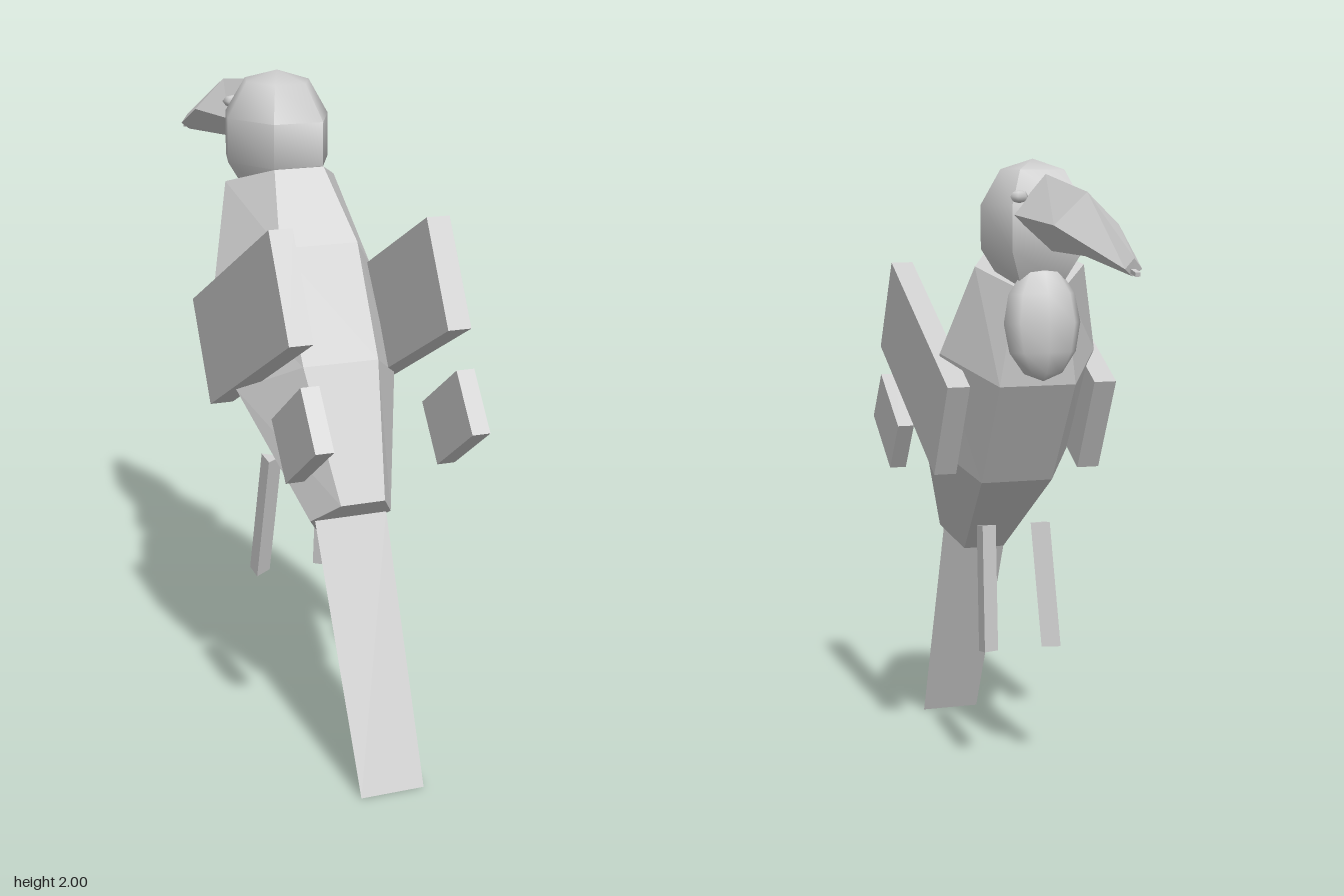
import * as THREE from 'three';
import { toCreasedNormals } from 'three/addons/utils/BufferGeometryUtils.js';

// Skin between rings of equal point count, with closed ends
function loft(rings, crease = 0) {
  const n = rings[0].length, tris = [];
  for (let r = 0; r < rings.length - 1; r++) {
    for (let i = 0; i < n; i++) {
      const j = (i + 1) % n, a = rings[r], b = rings[r + 1];
      tris.push([a[i], a[j], b[j]], [a[i], b[j], b[i]]);
    }
  }
  const first = rings[0], last = rings[rings.length - 1];
  for (let i = 1; i < n - 1; i++) {
    tris.push([first[0], first[i + 1], first[i]], [last[0], last[i], last[i + 1]]);
  }
  // Turn the faces outward if the rings run the other way
  const v = (p) => new THREE.Vector3(...p);
  const volume = tris.reduce((s, t) => s + v(t[0]).dot(v(t[1]).cross(v(t[2]))), 0);
  if (volume < 0) tris.forEach((t) => t.reverse());
  const g = new THREE.BufferGeometry();
  g.setAttribute('position', new THREE.Float32BufferAttribute(tris.flat(2), 3));
  if (crease) return toCreasedNormals(g, crease);
  g.computeVertexNormals();
  return g;
}

export function createModel() {
  const model = new THREE.Group();
  model.name = 'bird';
  const grey = new THREE.MeshStandardMaterial({ color: 0xcccccc, side: THREE.DoubleSide });
  grey.name = 'plain grey';
  const add = (name, geometry, x = 0, y = 0, z = 0) => {
    const mesh = new THREE.Mesh(geometry, grey);
    mesh.name = name;
    mesh.position.set(x, y, z);
    model.add(mesh);
    return mesh;
  };

  // Six-sided body: [outer width, side width, back z,y, side z,y, belly z,y]
  const body = [
    [0.08, 0.18, 0.14, 1.725, -0.02, 1.67, -0.13, 1.61],
    [0.125, 0.26, 0.30, 1.52, 0.10, 1.39, -0.10, 1.30],
    [0.12, 0.26, 0.476, 1.2, 0.285, 1.095, 0.11, 0.965],
    [0.07, 0.13, 0.65, 0.82, 0.56, 0.75, 0.47, 0.68],
  ].map(([w, m, bz, by, sz, sy, fz, fy]) => [
    [w, by, bz], [m, sy, sz], [w, fy, fz], [-w, fy, fz], [-m, sy, sz], [-w, by, bz],
  ]);
  add('body', loft(body));

  // Smooth head with an uneven six-sided outline
  const outline = [[0.08, 0.18], [0.165, 0.01], [0.115, -0.15], [-0.115, -0.15], [-0.165, 0.01], [-0.08, 0.18]];
  const head = [[2.0, 0.001], [1.968, 0.62], [1.86, 1], [1.725, 1], [1.62, 0.6]]
    .map(([y, s]) => outline.map(([x, z]) => [x * s, y, z * s - 0.045]));
  add('head', loft(head, 1.0));

  // Throat bulge
  const throat = add('throat', new THREE.SphereGeometry(1, 8, 6), 0, 1.5, -0.14);
  throat.scale.set(0.125, 0.18, 0.075);
  throat.rotation.x = 0.06;

  // Ridged beak: [half width, top z,y, side z,y, bottom z,y]
  const beak = [
    [0.11, -0.17, 1.955, -0.18, 1.835, -0.23, 1.725],
    [0.1, -0.535, 1.91, -0.53, 1.815, -0.52, 1.725],
    [0.025, -0.905, 1.74, -0.9, 1.71, -0.89, 1.69],
  ].map(([w, tz, ty, sz, sy, bz, by]) => [[0, ty, tz], [w, sy, sz], [0, by, bz], [-w, sy, sz]]);
  add('beak', loft(beak));
  add('beakTip', new THREE.BoxGeometry(0.015, 0.012, 0.05), 0, 1.702, -0.907).rotation.x = -0.2;

  // Flat tail feather
  const tail = [0.115, 0.75, 0.56, -0.115, 0.75, 0.56, -0.1, 0, 0.89, 0.1, 0, 0.89];
  const tailGeo = new THREE.BufferGeometry();
  tailGeo.setAttribute('position', new THREE.Float32BufferAttribute(tail, 3));
  tailGeo.setIndex([0, 1, 2, 0, 2, 3]);
  tailGeo.computeVertexNormals();
  add('tail', tailGeo);

  for (const [side, s] of [['left', 1], ['right', -1]]) {
    // Wing and separate wing tip slabs
    add(side + 'Wing', new THREE.BoxGeometry(0.073, 0.337, 0.747), s * 0.243, 1.325, 0.357)
      .rotation.x = -Math.atan2(0.35, 0.66);
    add(side + 'WingTip', new THREE.BoxGeometry(0.056, 0.195, 0.27), s * 0.238, 1.09, 0.762)
      .rotation.x = -Math.atan2(0.155, 0.222);

    // Small eye
    const eye = add(side + 'Eye', new THREE.SphereGeometry(1, 6, 4), s * 0.09, 1.888, -0.188);
    eye.scale.set(0.035, 0.02, 0.017);
    eye.rotation.y = s * 0.35;

    // Three-sided leg, flat on the outside
    const leg = [[0.115, 0.818, 0.148], [0.13, 0.415, 0.08]].map(([x, y, z]) => [
      [s * x, y - 0.005, z + 0.032], [s * x, y + 0.005, z - 0.032], [s * (x - 0.055), y, z],
    ]);
    add(side + 'Leg', loft(leg));
  }
  return model;
}
